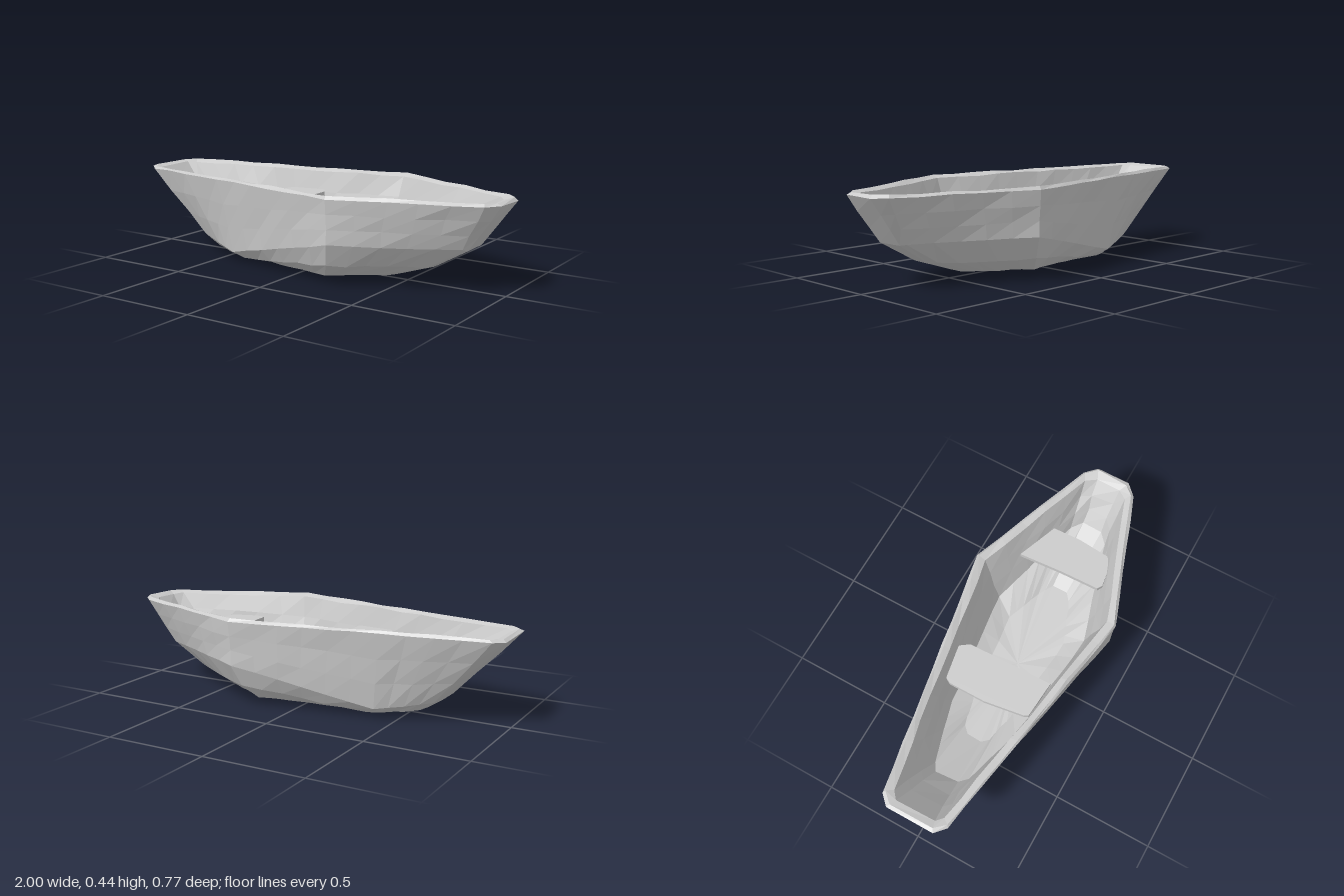
import * as THREE from 'three';

const material = new THREE.MeshStandardMaterial({ color: 0xcccccc, flatShading: true, side: THREE.DoubleSide });

// Small repeatable roughness for the hand-hewn facets
let seed = 7;
const jitter = (size) => {
  seed = (seed * 16807) % 2147483647;
  return (seed / 2147483647 - 0.5) * 2 * size;
};

// Each ring: half outline from the -x end to the +x end, as [x, y, half width]
const outerKeys = [
  [[-0.3, 0.005, 0.02], [-0.28, 0.005, 0.05], [-0.15, 0.005, 0.08], [0.12, 0.015, 0.16], [0.25, 0.012, 0.05], [0.27, 0.01, 0.03]],
  [[-0.45, 0.013, 0.03], [-0.43, 0.012, 0.07], [-0.28, 0.01, 0.12], [0.2, 0.035, 0.26], [0.44, 0.035, 0.1], [0.46, 0.03, 0.04]],
  [[-0.6, 0.045, 0.04], [-0.58, 0.04, 0.09], [-0.35, 0.02, 0.17], [0.25, 0.1, 0.325], [0.64, 0.1, 0.09], [0.66, 0.095, 0.05]],
  [[-0.69, 0.1, 0.06], [-0.66, 0.09, 0.1], [-0.4, 0.05, 0.2], [0.28, 0.21, 0.37], [0.82, 0.205, 0.09], [0.84, 0.2, 0.07]],
  [[-1, 0.425, 0.12], [-0.95, 0.425, 0.168], [-0.45, 0.425, 0.255], [0.28, 0.425, 0.383], [0.95, 0.425, 0.14], [1, 0.425, 0.085]],
];
const rimKey = [[-0.985, 0.437, 0.115], [-0.94, 0.438, 0.16], [-0.45, 0.437, 0.245], [0.28, 0.438, 0.37], [0.94, 0.436, 0.13], [0.985, 0.436, 0.08]];
const innerKeys = [
  [[-0.95, 0.425, 0.1], [-0.92, 0.425, 0.13], [-0.45, 0.425, 0.215], [0.28, 0.425, 0.335], [0.91, 0.425, 0.11], [0.94, 0.425, 0.06]],
  [[-0.7, 0.15, 0.06], [-0.66, 0.13, 0.09], [-0.35, 0.1, 0.18], [0.25, 0.12, 0.25], [0.74, 0.2, 0.1], [0.8, 0.2, 0.05]],
  [[-0.45, 0.06, 0.04], [-0.42, 0.06, 0.07], [-0.25, 0.06, 0.11], [0.2, 0.07, 0.16], [0.42, 0.08, 0.07], [0.46, 0.08, 0.04]],
];
const pole = (y) => Array.from({ length: 6 }, () => [0, y, 0]);
const divisions = [1, 4, 6, 5, 1];

// Subdivides a half outline and mirrors it into a closed ring
function makeRing(key, rough) {
  const half = [];
  divisions.forEach((n, s) => {
    for (let k = 0; k < n; k++) half.push(key[s].map((v, a) => v + (key[s + 1][a] - v) * k / n));
  });
  half.push(key[5]);
  const full = [...half, ...half.slice().reverse().map(([x, y, z]) => [x, y, -z])];
  return full.map(([x, y, z]) => [x + jitter(rough), y + jitter(rough * 0.7), z + jitter(rough * 0.7)]);
}

// Adds evenly spaced outlines between two key outlines
function between(a, b, n) {
  return Array.from({ length: n }, (_, k) =>
    a.map((p, i) => p.map((v, c) => v + (b[i][c] - v) * (k + 1) / (n + 1))));
}

// Skins a sequence of closed rings
function skin(rings, name) {
  const n = rings[0].length;
  const index = [];
  for (let r = 0; r < rings.length - 1; r++) {
    for (let i = 0; i < n; i++) {
      const a = r * n + i, b = r * n + (i + 1) % n;
      index.push(a, b, b + n, a, b + n, a + n);
    }
  }
  const geometry = new THREE.BufferGeometry();
  geometry.setAttribute('position', new THREE.Float32BufferAttribute(rings.flat(2), 3));
  geometry.setIndex(index);
  geometry.computeVertexNormals();
  const mesh = new THREE.Mesh(geometry, material);
  mesh.name = name;
  return mesh;
}

// Plank seat from its plan outline, [x, z] corners
function makeSeat(plan, top, name) {
  const shape = new THREE.Shape(plan.map(([x, z]) => new THREE.Vector2(x, -z)));
  const geometry = new THREE.ExtrudeGeometry(shape, { depth: 0.025, bevelEnabled: false });
  geometry.rotateX(-Math.PI / 2);
  const mesh = new THREE.Mesh(geometry, material);
  mesh.position.y = top - 0.025;
  mesh.name = name;
  return mesh;
}

export function createModel() {
  seed = 7;
  const boat = new THREE.Group();
  boat.name = 'rowingBoat';

  // Outer shell, from the keel up to the gunwale
  const [keel, floor, bilge, chine, edge] = outerKeys;
  const outer = [
    makeRing(pole(0), 0),
    makeRing(keel, 0.003), makeRing(floor, 0.004), makeRing(bilge, 0.006), makeRing(chine, 0.004),
    ...between(chine, edge, 2).map((k) => makeRing(k, 0.005)),
    makeRing(edge, 0.004),
  ];
  boat.add(skin(outer, 'hull'));

  // Inner shell, from the gunwale down to the floor
  const [lip, wallFoot, floorMiddle] = innerKeys;
  const inner = [
    makeRing(lip, 0.006),
    ...between(lip, wallFoot, 2).map((k) => makeRing(k, 0.006)),
    makeRing(wallFoot, 0.006), makeRing(floorMiddle, 0.005), makeRing(pole(0.05), 0),
  ];
  boat.add(skin(inner, 'interior'));

  // Worn rim joining both shells
  boat.add(skin([outer.at(-1), makeRing(rimKey, 0.006), inner[0]], 'gunwale'));

  // Two plank seats
  boat.add(makeSeat([[-0.33, 0], [-0.3, 0.2], [-0.29, 0.22], [-0.1, 0.235], [-0.11, -0.2], [-0.145, -0.25], [-0.31, -0.225], [-0.33, -0.19]], 0.33, 'rearSeat'));
  boat.add(makeSeat([[0.45, 0], [0.455, 0.2], [0.48, 0.215], [0.58, 0.2], [0.635, 0.165], [0.65, 0], [0.645, -0.145], [0.435, -0.225]], 0.32, 'frontSeat'));

  return boat;
}
